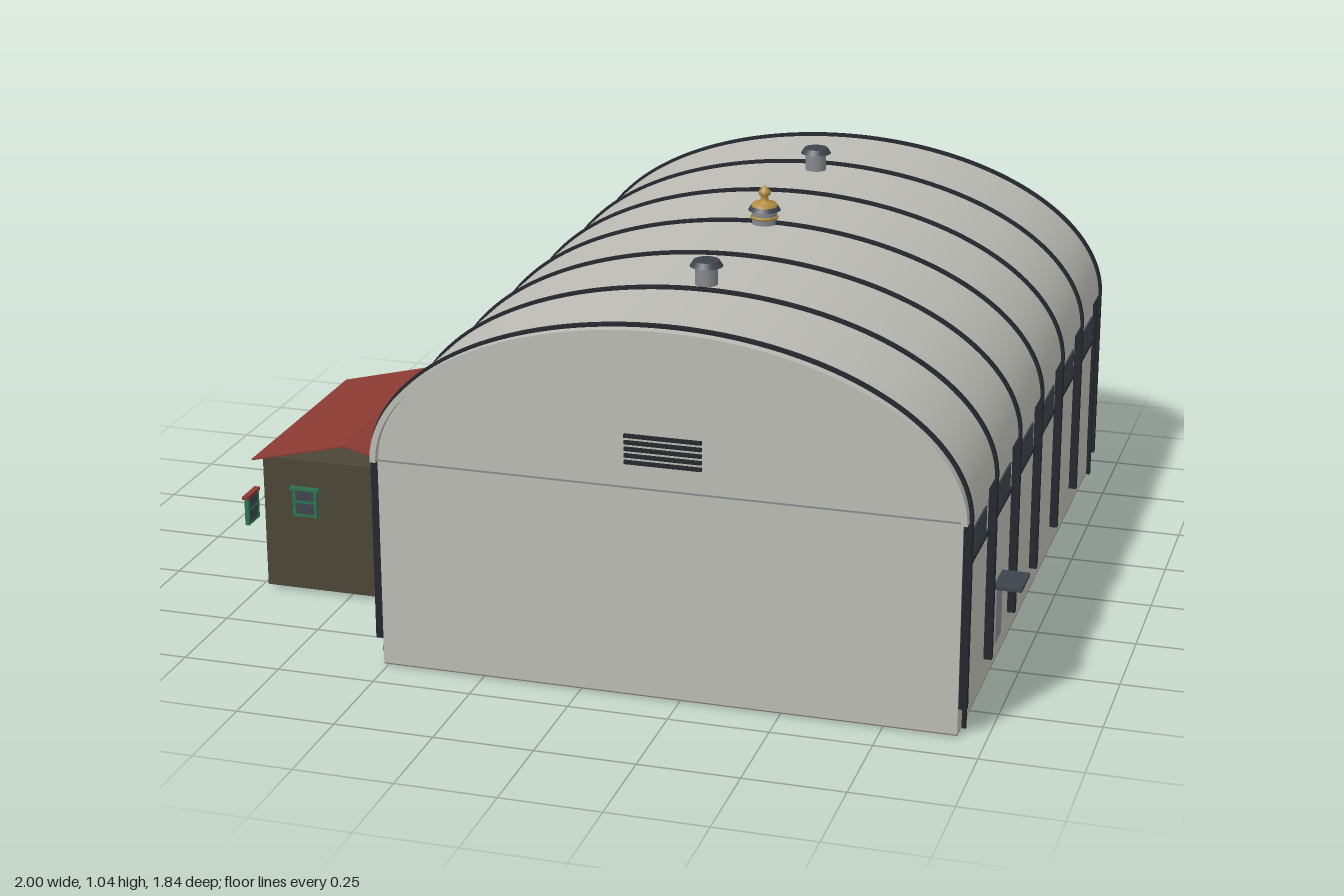
import * as THREE from 'three';
import { toCreasedNormals } from 'three/addons/utils/BufferGeometryUtils.js';

const mat = (name, color) => {
  const m = new THREE.MeshStandardMaterial({ color });
  m.name = name;
  return m;
};

export function createModel() {
  const root = new THREE.Group();
  root.name = 'hangar';
  const M = {
    wall: mat('pale grey', 0xbcbcb5),
    steel: mat('dark steel', 0x23272d),
    glass: mat('dark glass', 0x3d444c),
    door: mat('slate door', 0x68717a),
    vent: mat('vent grey', 0x85898d),
    floor: mat('tan concrete', 0x81775f),
    annex: mat('dark olive brown', 0x4b4737),
    red: mat('red roof', 0x8b3a32),
    green: mat('green frame', 0x2c7350),
    brass: mat('brass', 0xb08a3c),
  };
  M.red.side = THREE.DoubleSide;
  const CX = 0.21, EAVE = 0.54, HALF = 0.72;

  const add = (name, geo, m, x = 0, y = 0, z = 0, parent = root) => {
    const mesh = new THREE.Mesh(geo, m);
    mesh.name = name;
    mesh.position.set(x, y, z);
    parent.add(mesh);
    return mesh;
  };
  // box given by its min and max on each axis
  const box = (name, m, x0, x1, y0, y1, z0, z1, parent = root) =>
    add(name, new THREE.BoxGeometry(x1 - x0, y1 - y0, z1 - z0), m,
      (x0 + x1) / 2, (y0 + y1) / 2, (z0 + z1) / 2, parent);

  const extrude = (shape, depth) => {
    const g = new THREE.ExtrudeGeometry(shape, { depth, bevelEnabled: false, curveSegments: 40 });
    g.translate(0, 0, -depth / 2);
    return toCreasedNormals(g, 0.5);
  };
  // half-elliptical band used by the roof shell and the ribs
  const archBand = (rx, ry, ix, iy, depth) => {
    const s = new THREE.Shape();
    s.moveTo(rx, 0);
    s.absellipse(0, 0, rx, ry, 0, Math.PI, false);
    s.lineTo(-ix, 0);
    s.absellipse(0, 0, ix, iy, Math.PI, 0, true);
    s.closePath();
    return extrude(s, depth);
  };

  // main hall with rounded gables
  const hall = new THREE.Shape();
  hall.moveTo(-HALF, 0.006);
  hall.lineTo(HALF, 0.006);
  hall.lineTo(HALF, EAVE);
  hall.absellipse(0, EAVE, HALF, 0.387, 0, Math.PI, false);
  hall.closePath();
  add('hall', extrude(hall, 1.8), M.wall, CX);
  add('roofShell', archBand(0.733, 0.4, 0.718, 0.386, 1.84), M.wall, CX, EAVE);
  box('floorSlab', M.floor, CX - HALF, CX + HALF, 0.003, 0.006, -0.9, 0.9);
  box('floorPit', M.annex, CX - 0.28, CX + 0.28, 0, 0.003, -0.21, 0.21);
  box('floorChannel', M.annex, CX - 0.12, CX + 0.12, 0, 0.003, 0.7, 0.74);
  box('floorChannel', M.annex, -0.48, -0.09, 0, 0.003, -0.03, 0.03);
  box('frontEaveLine', M.vent, CX - HALF, CX + HALF, 0.538, 0.542, 0.9, 0.902);

  // ribs over the roof with wall posts below
  const ribGeo = archBand(0.741, 0.408, 0.72, 0.39, 0.013);
  for (let i = -3; i <= 3; i++) {
    const z = i * 0.296;
    add('roofRib', ribGeo, M.steel, CX, EAVE, z);
    for (const s of [-1, 1])
      add('wallPost', new THREE.BoxGeometry(0.02, 0.47, 0.018), M.steel, CX + s * 0.73, 0.305, z);
  }

  // downpipes near the corners
  for (const s of [-1, 1]) for (const z of [-0.865, 0.865])
    add('downpipe', new THREE.CylinderGeometry(0.006, 0.006, 0.52, 8), M.steel, CX + s * 0.729, 0.27, z);

  // side windows with sills
  for (const s of [-1, 1]) for (let i = 0; i < 6; i++) {
    const z = (i - 2.5) * 0.298, x = CX + s * HALF;
    add('sideWindow', new THREE.BoxGeometry(0.008, 0.064, 0.215), M.glass, x, 0.453, z);
    add('windowSill', new THREE.BoxGeometry(0.02, 0.007, 0.22), M.steel, x, 0.417, z);
  }

  // side door with canopy
  box('sideDoor', M.vent, 0.928, 0.936, 0.06, 0.205, 0.41, 0.485);
  box('doorCanopy', M.glass, 0.93, 1.0, 0.211, 0.22, 0.39, 0.5);

  // front louvre
  for (let i = 0; i < 5; i++)
    box('louvreSlat', M.steel, 0.115, 0.305, 0.6 + i * 0.0165, 0.609 + i * 0.0165, 0.898, 0.907);

  // rear sliding doors
  box('rearThreshold', M.floor, CX - HALF, CX + HALF, 0.004, 0.075, -0.907, -0.898);
  for (let i = 0; i < 4; i++) {
    const x0 = CX - 0.7 + i * 0.35;
    box('doorLeaf', M.door, x0, x0 + 0.35, 0.075, i === 3 ? 0.51 : 0.45, -0.906, -0.898);
    if (i) box('doorSeam', M.steel, x0 - 0.004, x0 + 0.004, 0.075, 0.45, -0.909, -0.9);
  }
  for (let i = 1; i < 5; i++)
    box('doorRail', M.steel, CX - 0.7, CX + 0.7, 0.073 + i * 0.075, 0.077 + i * 0.075, -0.909, -0.9);
  box('doorTrack', M.steel, CX - 0.71, CX + 0.71, 0.45, 0.468, -0.92, -0.898);
  box('rearEaveBeam', M.steel, CX - 0.71, CX + 0.71, 0.522, 0.542, -0.91, -0.898);
  for (const x of [0.33, -0.07, -0.44])
    box('markerLight', M.red, x - 0.045, x + 0.045, 0.495, 0.508, -0.907, -0.898);

  // rear gable windows
  for (let i = 0; i < 6; i++)
    add('gableWindow', new THREE.BoxGeometry(0.15, 0.06, 0.008), M.glass, CX + (i - 2.5) * 0.236, 0.645, -0.901);

  // roof vents
  const cyl = (name, m, r1, r2, y0, y1, z) =>
    add(name, new THREE.CylinderGeometry(r1, r2, y1 - y0, 20), m, CX, (y0 + y1) / 2, z);
  for (const z of [-0.535, 0.535]) {
    cyl('ventPipe', M.vent, 0.028, 0.028, 0.93, 0.988, z);
    cyl('ventCap', M.glass, 0.032, 0.041, 0.986, 1.0, z);
  }

  // central lantern with finial
  cyl('lanternBase', M.vent, 0.032, 0.032, 0.93, 0.978, 0);
  cyl('lanternCap', M.glass, 0.036, 0.042, 0.976, 0.986, 0);
  const finial = [[0.034, 0.986], [0.03, 0.994], [0.012, 1.0], [0.009, 1.01], [0.016, 1.018], [0.014, 1.028], [0.005, 1.036], [0, 1.044]];
  add('finial', new THREE.LatheGeometry(finial.map(p => new THREE.Vector2(...p)), 16), M.brass, CX);
  add('lanternRing', new THREE.TorusGeometry(0.033, 0.004, 8, 20).rotateX(Math.PI / 2), M.brass, CX, 0.958, 0);

  // annex with a thin open-ended gable roof
  box('annexWalls', M.annex, -0.98, -0.5, 0.008, 0.365, -0.06, 0.53);
  const ridge = [-0.745, 0.425];
  for (const [x, y] of [[-1.0, 0.362], [-0.5, 0.365]]) {
    const dx = x - ridge[0], dy = y - ridge[1];
    const slab = add('annexRoof', new THREE.BoxGeometry(Math.hypot(dx, dy), 0.004, 0.64), M.red,
      (x + ridge[0]) / 2, (y + ridge[1]) / 2, 0.235);
    slab.rotation.z = Math.atan(dy / dx);
  }

  // annex windows: built facing +z, then turned
  const annexWindow = (x, z, turn, lintel) => {
    const g = new THREE.Group();
    g.name = 'annexWindow';
    box('pane', M.glass, -0.03, 0.03, -0.036, 0.036, -0.004, 0.003, g);
    for (const s of [-1, 1]) {
      box('frameSide', M.green, s * 0.029 - 0.004, s * 0.029 + 0.004, -0.038, 0.038, -0.005, 0.006, g);
    }
    for (const y of [-0.035, 0.002])
      box('frameBar', M.green, -0.032, 0.032, y - 0.003, y + 0.003, -0.005, 0.006, g);
    box('lintel', lintel, -0.04, 0.04, 0.034, 0.042, -0.006, 0.009, g);
    g.position.set(x, 0.25, z);
    g.rotation.y = turn;
    root.add(g);
  };
  for (const x of [-0.865, -0.625]) annexWindow(x, 0.533, 0, M.green);
  for (const z of [0.2, 0.4, 0.6]) annexWindow(-0.984, z, -Math.PI / 2, M.red);

  return root;
}
